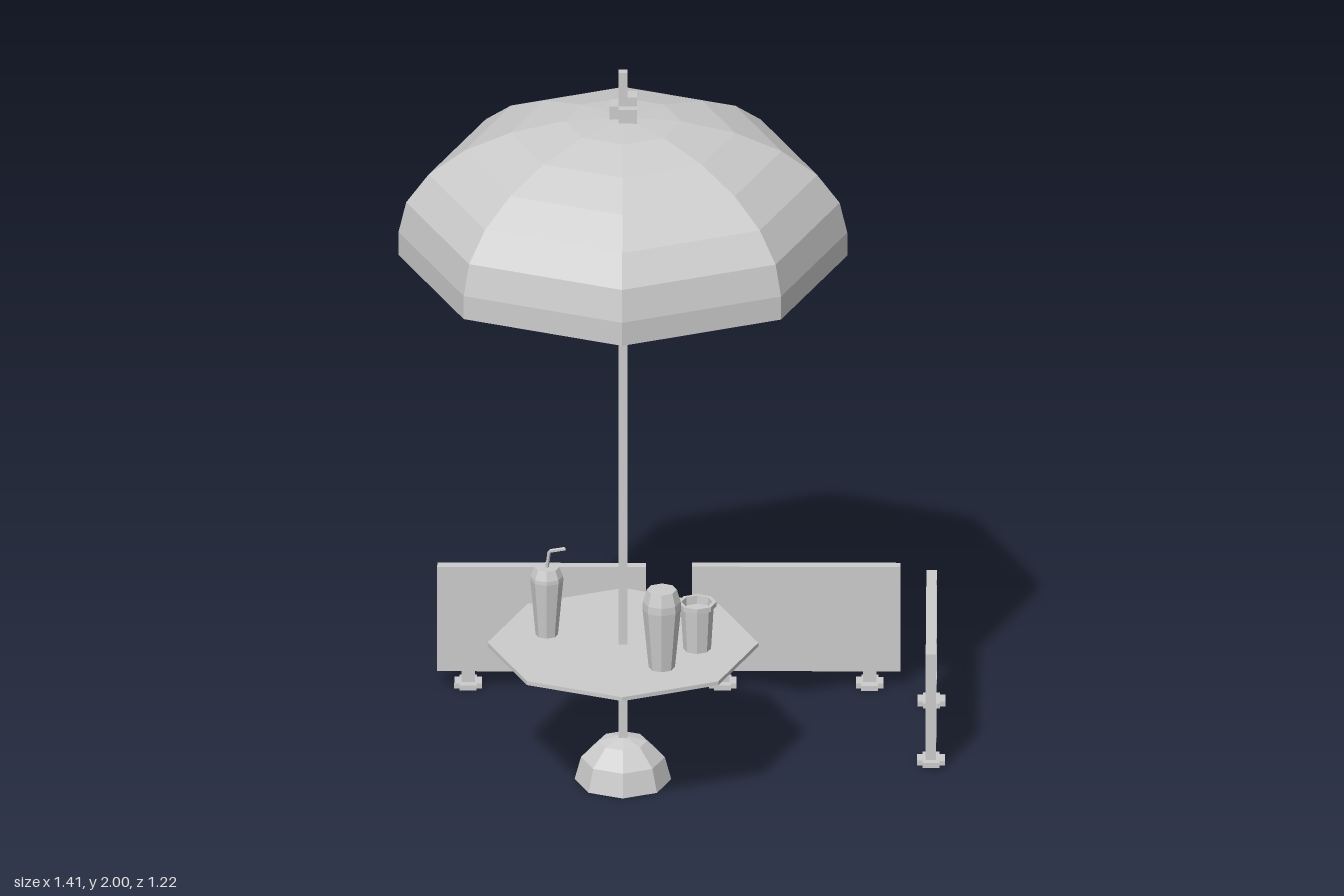
import * as THREE from 'three';

const material = new THREE.MeshStandardMaterial({ color: 0xcccccc, flatShading: true, side: THREE.DoubleSide });
const PX = -0.131, PZ = 0.028; // pole axis

function add(parent, name, geometry, x = 0, y = 0, z = 0) {
  const mesh = new THREE.Mesh(geometry, material);
  mesh.name = name;
  mesh.position.set(x, y, z);
  parent.add(mesh);
  return mesh;
}

// box given by its minimum and maximum corners
function box(parent, name, [x0, y0, z0], [x1, y1, z1]) {
  return add(parent, name, new THREE.BoxGeometry(x1 - x0, y1 - y0, z1 - z0),
    (x0 + x1) / 2, (y0 + y1) / 2, (z0 + z1) / 2);
}

// eight-sided turned shape from [radius, height] pairs
function turned(points) {
  return new THREE.LatheGeometry(points.map(([r, y]) => new THREE.Vector2(r, y)), 8);
}

// elliptical dome profile, rim to crown
function dome(r, y0, h, steps) {
  const pts = [];
  for (let i = 0; i <= steps; i++) {
    const a = (i / steps) * Math.PI / 2;
    pts.push([i === steps ? 0 : r * Math.cos(a), y0 + h * Math.sin(a)]);
  }
  return pts;
}

// advertising-style screen: plain front, framed and recessed back (-z), two cross-shaped feet
function screen(name) {
  const g = new THREE.Group();
  g.name = name;
  const w = 0.27, y0 = 0.045, y1 = 0.34, d = 0.0135, f = 0.014;
  box(g, 'panel', [-w, y0, -d + 0.008], [w, y1, d]);
  box(g, 'frameBottom', [-w, y0, -d], [w, y0 + f, -d + 0.008]);
  box(g, 'frameTop', [-w, y1 - f, -d], [w, y1, -d + 0.008]);
  for (const s of [-1, 1]) {
    const side = box(g, 'frameSide', [-f / 2, y0 + f, -d], [f / 2, y1 - f, -d + 0.008]);
    side.position.x = s * (w - f / 2);
    const foot = new THREE.Group();
    foot.name = 'foot';
    foot.position.x = s * 0.19;
    add(foot, 'footBarAcross', new THREE.BoxGeometry(0.072, 0.014, 0.044), 0, 0.007, 0);
    add(foot, 'footBarAlong', new THREE.BoxGeometry(0.044, 0.014, 0.072), 0, 0.007, 0);
    add(foot, 'footPost', new THREE.BoxGeometry(0.034, 0.033, 0.026), 0, 0.0295, 0);
    g.add(foot);
  }
  return g;
}

export function createModel() {
  const model = new THREE.Group();
  model.name = 'parasolTable';

  // parasol: square pole, hollow base, thick-walled canopy with a short straight skirt
  add(model, 'pole', new THREE.BoxGeometry(0.023, 1.89, 0.023), PX, 1.055, PZ);
  add(model, 'base', turned(dome(0.125, 0, 0.125, 3)), PX, 0, PZ);
  const outer = [[0.58, 1.48], ...dome(0.58, 1.545, 0.325, 6)];
  const inner = [[0.56, 1.48], ...dome(0.56, 1.54, 0.31, 6)].reverse();
  add(model, 'canopy', turned([...inner, ...outer]), PX, 0, PZ);

  // crown fitting and crank housing
  box(model, 'crownBlock', [-0.165, 1.86, -0.005], [-0.095, 1.905, 0.038]);
  box(model, 'crownBlockFront', [-0.142, 1.86, 0.038], [-0.095, 1.905, 0.062]);
  box(model, 'crownLug', [-0.12, 1.9, -0.005], [-0.095, 1.93, 0.038]);
  box(model, 'crankHousing', [-0.13, 1.25, -0.003], [-0.095, 1.365, 0.028]);
  box(model, 'crankBracket', [-0.124, 1.238, 0.003], [-0.103, 1.375, 0.03]);

  // table top
  add(model, 'tableTop', new THREE.CylinderGeometry(0.35, 0.35, 0.011, 8), PX, 0.38, PZ);

  // cup with a bent straw
  const drink = new THREE.Group();
  drink.name = 'strawCup';
  drink.position.set(-0.328, 0.386, -0.024);
  add(drink, 'cup', turned([[0, 0], [0.029, 0], [0.043, 0.155], [0.042, 0.165], [0.032, 0.19], [0, 0.19]]));
  const path = new THREE.CurvePath();
  const knots = [[0, 0.185, 0], [0.006, 0.238, 0.008], [0.047, 0.25, 0.02]].map(p => new THREE.Vector3(...p));
  path.add(new THREE.LineCurve3(knots[0], knots[1]));
  path.add(new THREE.LineCurve3(knots[1], knots[2]));
  add(drink, 'straw', new THREE.TubeGeometry(path, 12, 0.005, 5));
  model.add(drink);

  // tall tumbler
  add(model, 'tumbler', turned([[0, 0], [0.034, 0], [0.05, 0.165], [0.049, 0.185], [0.039, 0.219], [0, 0.219]]),
    -0.03, 0.386, 0.185);

  // short cup with rim and recessed top
  add(model, 'shortCup', turned([[0, 0], [0.036, 0], [0.043, 0.119], [0.05, 0.119], [0.05, 0.132],
    [0.04, 0.132], [0.038, 0.11], [0, 0.11]]), 0.061, 0.386, 0.066);

  // screens: two behind, one on the left side
  const backRight = screen('backRightScreen');
  backRight.position.set(-0.343, 0, -0.572);
  const backLeft = screen('backLeftScreen');
  backLeft.position.set(0.315, 0, -0.575);
  const side = screen('sideScreen');
  side.position.set(0.665, 0, -0.272);
  side.rotation.y = -Math.PI / 2;
  model.add(backRight, backLeft, side);
  return model;
}
